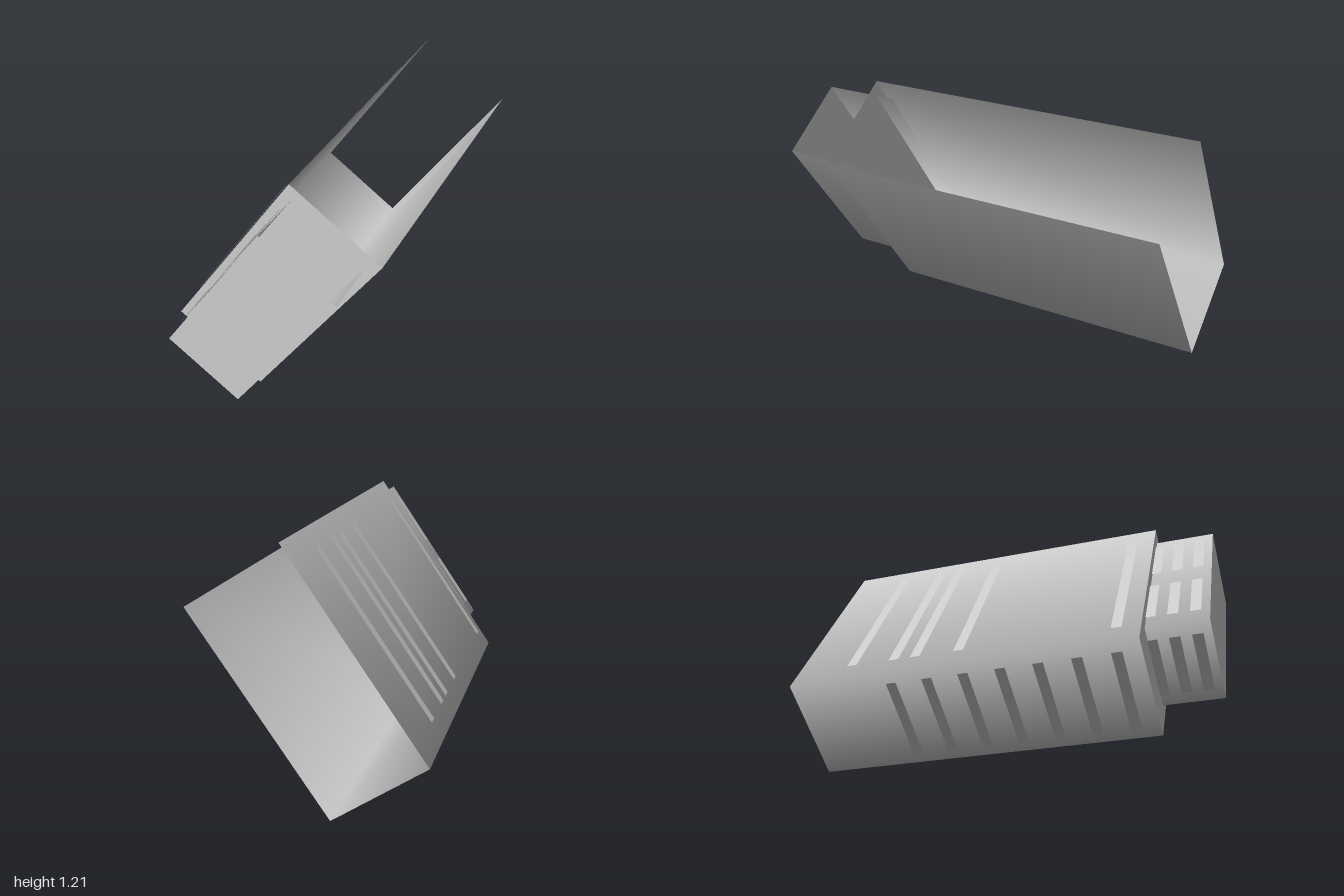
import * as THREE from 'three';

const grey = new THREE.MeshStandardMaterial({ color: 0xcccccc, side: THREE.DoubleSide });
grey.name = 'plain grey';

function addMesh(parent, geometry, name) {
  const mesh = new THREE.Mesh(geometry, grey);
  mesh.name = name;
  parent.add(mesh);
  return mesh;
}

// U-shaped wall, open at the top and back, with softly shaded lower corners
function wallGeometry(halfWidth, bottom, top, back, front) {
  const k = Math.SQRT1_2;
  const profile = [
    [-halfWidth, top, -1, 0],
    [-halfWidth, bottom, -k, -k],
    [halfWidth, bottom, k, -k],
    [halfWidth, top, 1, 0],
  ];
  const positions = [], normals = [], index = [];
  profile.forEach(([x, y, nx, ny], i) => {
    for (const z of [back, front]) {
      positions.push(x, y, z);
      normals.push(nx, ny, 0);
    }
    if (i < 3) {
      const a = 2 * i;
      index.push(a, a + 2, a + 1, a + 1, a + 2, a + 3);
    }
  });
  const geometry = new THREE.BufferGeometry();
  geometry.setAttribute('position', new THREE.Float32BufferAttribute(positions, 3));
  geometry.setAttribute('normal', new THREE.Float32BufferAttribute(normals, 3));
  geometry.setIndex(index);
  return geometry;
}

// Wall plus its flat front plate
function addShell(parent, name, halfWidth, bottom, top, back, front) {
  addMesh(parent, wallGeometry(halfWidth, bottom, top, back, front), name + 'Walls');
  const plate = addMesh(parent, new THREE.PlaneGeometry(2 * halfWidth, top - bottom), name + 'Front');
  plate.position.set(0, (bottom + top) / 2, front);
}

// Strip running up the side wall
function addSideStrip(parent, x, y0, y1, z, name) {
  const g = new THREE.PlaneGeometry(0.05, y1 - y0).rotateY(-Math.PI / 2);
  addMesh(parent, g, name).position.set(x, (y0 + y1) / 2, z);
}

// Strip running across the bottom wall
function addBottomStrip(parent, y, width, z, name) {
  const g = new THREE.PlaneGeometry(width, 0.05).rotateX(Math.PI / 2);
  addMesh(parent, g, name).position.set(0, y, z);
}

export function createModel() {
  const model = new THREE.Group();
  model.name = 'slantedHousing';
  const tilted = new THREE.Group();
  tilted.name = 'tiltedBody';
  tilted.rotation.z = -0.606;
  tilted.position.y = 0.605;
  model.add(tilted);

  // Main housing and the smaller nose set into its front
  addShell(tilted, 'housing', 0.262, -0.5535, 0.5535, -1, 0.71);
  addShell(tilted, 'nose', 0.211, -0.388, 0.498, 0.61, 1);

  // Raised strips on the housing
  for (const z of [-0.7, -0.48, -0.37, -0.15, 0.6]) {
    addSideStrip(tilted, -0.272, -0.4535, 0.4535, z, 'housingSideStrip');
  }
  for (let i = 0; i < 7; i++) {
    addBottomStrip(tilted, -0.5635, 0.42, -0.48 + i * 0.18, 'housingBottomStrip');
  }

  // Short strips on the nose, in two columns on the side
  for (const z of [0.73, 0.833, 0.936]) {
    addSideStrip(tilted, -0.221, -0.31, -0.005, z, 'noseSideStrip');
    addSideStrip(tilted, -0.221, 0.125, 0.43, z, 'noseSideStrip');
    addBottomStrip(tilted, -0.398, 0.3, z, 'noseBottomStrip');
  }
  return model;
}
